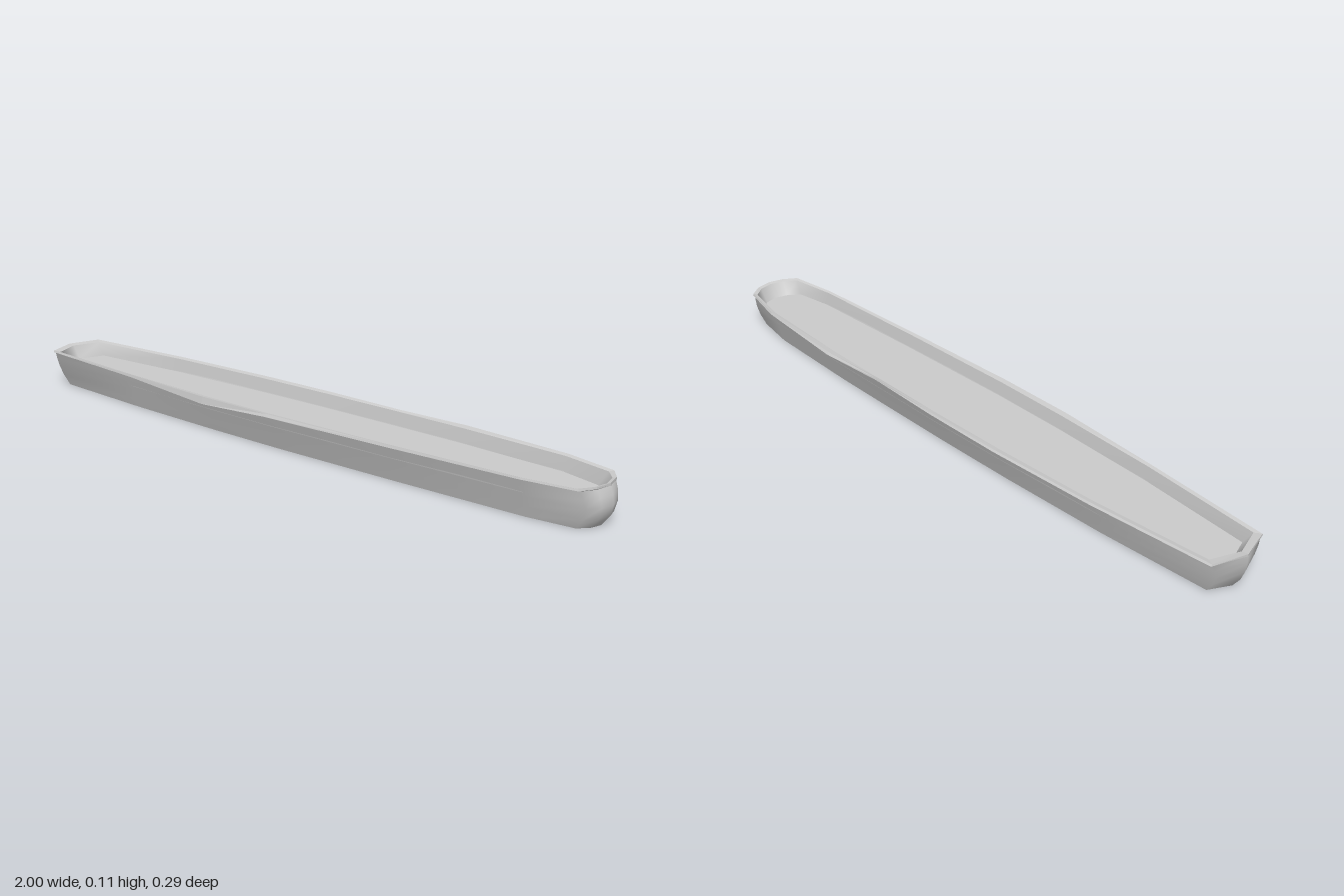
import * as THREE from 'three';

// Plan outline, clockwise from the right-hand tip (-x) along the back:
// [x, wall z, lip z, lip outer-edge height]
const OUTLINE = [
  [-1.0, 0, 0, 0.108],
  [-0.97, -0.088, -0.1, 0.108],
  [-0.6, -0.117, -0.13, 0.108],
  [-0.26, -0.13, -0.144, 0.108],
  [0, -0.133, -0.144, 0.108],
  [0.25, -0.131, -0.136, 0.108],
  [0.47, -0.128, -0.147, 0.106],
  [0.8, -0.112, -0.122, 0.108],
  [0.95, -0.08, -0.087, 0.108],
  [0.978, -0.045, -0.047, 0.108],
  [0.988, 0, 0, 0.108],
  [0.978, 0.045, 0.048, 0.108],
  [0.953, 0.085, 0.09, 0.108],
  [0.8, 0.107, 0.112, 0.108],
  [0.4, 0.122, 0.13, 0.106],
  [0, 0.13, 0.144, 0.105],
  [-0.25, 0.127, 0.143, 0.092],
  [-0.58, 0.114, 0.12, 0.106],
  [-0.97, 0.085, 0.092, 0.108],
];

// Ring of the wall: shrunk across by kz, shifted at the ends by dx
const ring = (y, kz, dxLeft, dxRight) => OUTLINE.map(([x, z]) => {
  const end = Math.abs(x) > 0.9 ? 1 : 0;
  return [x + end * (x > 0 ? dxLeft : dxRight), y, z * kz];
});

// Skin between consecutive rings; ordered so faces look outward going up
function loft(rings) {
  const n = rings[0].length, index = [];
  for (let r = 0; r < rings.length - 1; r++) {
    for (let i = 0; i < n; i++) {
      const j = (i + 1) % n, a = r * n + i, b = r * n + j;
      index.push(a, a + n, b, b, a + n, b + n);
    }
  }
  const g = new THREE.BufferGeometry();
  g.setAttribute('position', new THREE.Float32BufferAttribute(rings.flat(2), 3));
  g.setIndex(index);
  g.computeVertexNormals();
  return g;
}

// Flat panel filling a ring
function panel(points, up) {
  const n = points.length, index = [];
  for (let i = 0; i < n; i++) {
    const j = (i + 1) % n;
    index.push(n, ...(up ? [j, i] : [i, j]));
  }
  const g = new THREE.BufferGeometry();
  g.setAttribute('position', new THREE.Float32BufferAttribute([...points, [0, points[0][1], 0]].flat(), 3));
  g.setIndex(index);
  g.computeVertexNormals();
  return g;
}

export function createModel() {
  const group = new THREE.Group();
  const add = (name, geometry, flatShading = false) => {
    const material = new THREE.MeshStandardMaterial({ color: 0xcccccc, flatShading, side: THREE.DoubleSide });
    const mesh = new THREE.Mesh(geometry, material);
    mesh.name = name;
    group.add(mesh);
  };

  const base = ring(0, 0.7, -0.018, 0.035);
  const top = ring(0.106, 0.985, 0, 0);
  const inside = ring(0.11, 0.955, -0.01, 0.02);
  const floor = ring(0.07, 0.89, -0.035, 0.045);

  // Flared outer wall, bulging slightly at the ends
  add('outerWall', loft([base, ring(0.03, 0.78, 0.005, 0.014), ring(0.06, 0.86, 0.012, 0.003), ring(0.085, 0.93, 0.008, 0), top]));
  add('base', panel(base, false));

  // Uneven overhanging lip, drooping near the middle of the front
  const lipEdge = OUTLINE.map(([x, , z, y]) => [x, y, z]);
  const lipTop = OUTLINE.map(([x, w, z]) => [x, 0.113, w + (z - w) * 0.7]);
  add('lip', loft([top, lipEdge, lipTop, inside]), true);

  // Shallow tray inside
  add('innerWall', loft([inside, floor]));
  add('floor', panel(floor, true));
  return group;
}
